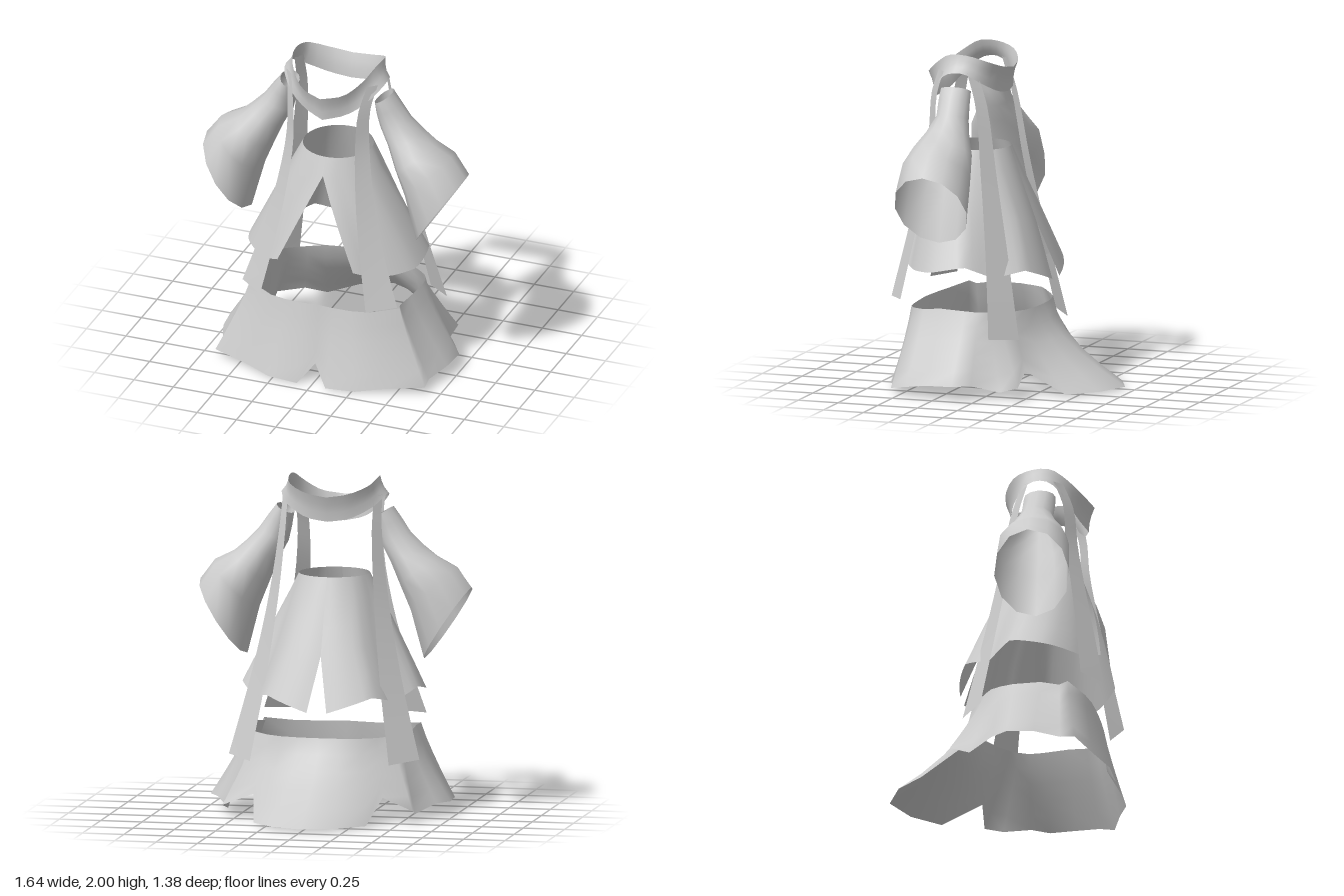
import * as THREE from 'three';

const cloth = new THREE.MeshStandardMaterial({ color: 0xcccccc, side: THREE.DoubleSide });
const { lerp, clamp } = THREE.MathUtils;
const V = (p) => new THREE.Vector3(...p);

// Skin a list of rows, each an equal-length list of [x, y, z]; closed joins row ends
function skin(name, rows, closed = false) {
  const n = rows[0].length, index = [];
  const cols = closed ? n : n - 1;
  for (let i = 0; i < rows.length - 1; i++) {
    for (let j = 0; j < cols; j++) {
      const a = i * n + j, b = i * n + (j + 1) % n;
      index.push(a, a + n, b, b, a + n, b + n);
    }
  }
  const g = new THREE.BufferGeometry();
  g.setAttribute('position', new THREE.Float32BufferAttribute(rows.flat(2), 3));
  g.setIndex(index);
  g.computeVertexNormals();
  const mesh = new THREE.Mesh(g, cloth);
  mesh.name = name;
  return mesh;
}

const flip = (rows) => rows.map((r) => r.map(([x, y, z]) => [-x, y, z]).reverse());

// Complete a front-to-back half outline into a closed loop
const loop = (half) => [...half, ...half.slice(1, -1).reverse().map(([x, y, z]) => [-x, y, z])];

function smooth(points, n) {
  return new THREE.CatmullRomCurve3(points.map(V)).getPoints(n).map((p) => p.toArray());
}

// Saddle-shaped neck band
function collar() {
  const top = smooth([[0, 1.845, 0.54], [0.13, 1.87, 0.495], [0.22, 1.94, 0.41], [0.26, 1.995, 0.32],
    [0.265, 1.995, 0.2], [0.24, 1.965, 0.1], [0.13, 1.92, 0.03], [0, 1.9, 0.01]], 18);
  const bottom = smooth([[0, 1.69, 0.505], [0.13, 1.725, 0.46], [0.24, 1.8, 0.41], [0.315, 1.885, 0.32],
    [0.315, 1.895, 0.22], [0.265, 1.84, 0.13], [0.13, 1.77, 0.06], [0, 1.75, 0.045]], 18);
  const rows = [0, 0.33, 0.66, 1].map((t) => {
    const pinch = 1 - 0.035 * Math.sin(Math.PI * t);
    return loop(top.map((p, i) => {
      const q = bottom[i];
      return [lerp(p[0], q[0], t) * pinch, lerp(p[1], q[1], t), 0.26 + (lerp(p[2], q[2], t) - 0.26) * pinch];
    }));
  });
  return skin('collar', rows, true);
}

// Flared sleeve: each ring is [upper x, y], [lower x, y], half depth, centre z
function sleeveRows() {
  const rings = [
    [0.35, 1.82, 0.25, 1.765, 0.095, 0.265], [0.4, 1.755, 0.26, 1.69, 0.098, 0.265],
    [0.46, 1.67, 0.28, 1.6, 0.098, 0.26], [0.54, 1.59, 0.335, 1.5, 0.135, 0.265],
    [0.61, 1.53, 0.395, 1.36, 0.185, 0.275], [0.73, 1.47, 0.46, 1.2, 0.215, 0.28],
    [0.82, 1.35, 0.535, 0.915, 0.225, 0.285],
  ];
  return rings.map(([ux, uy, lx, ly, d, cz]) => Array.from({ length: 12 }, (_, i) => {
    const a = (i / 12) * Math.PI * 2, s = (1 + Math.cos(a)) / 2;
    return [lerp(lx, ux, s), lerp(ly, uy, s), cz + d * Math.sin(a)];
  }));
}

// Ribbon: centre path points, half width vector at the top and at the end
function ribbonRows(path, w0, w1) {
  const pts = smooth(path, 16);
  return pts.map(([x, y, z], i) => {
    const t = (i / 16) ** 1.9;
    const w = w0.map((v, k) => lerp(v, w1[k], t));
    return [[x - w[0], y - w[1], z - w[2]], [x + w[0], y + w[1], z + w[2]]];
  });
}

// Half of the upper skirt, with slits opening at front and back
function upperSkirtRows() {
  // hem: angle from the front, radius, height
  const hem = [[0.57, 0.445, 0.77], [0.86, 0.445, 0.72], [1.1, 0.49, 0.72], [1.38, 0.545, 0.73],
    [1.78, 0.545, 0.775], [2.12, 0.492, 0.7], [2.49, 0.53, 0.74], [3.02, 0.503, 0.65]];
  const hemAt = (a) => {
    let i = 0;
    while (i < hem.length - 2 && a > hem[i + 1][0]) i++;
    const s = clamp((a - hem[i][0]) / (hem[i + 1][0] - hem[i][0]), 0, 1);
    return [1, 2].map((k) => lerp(hem[i][k], hem[i + 1][k], s));
  };
  const slit = (t, start, width, hemR) =>
    Math.asin(clamp((t - start) / (1 - start), 0, 1) * width / lerp(0.21, hemR, t));
  return [0, 0.17, 0.38, 0.58, 0.8, 1].map((t) => {
    const from = slit(t, 0.17, 0.24, 0.445), to = Math.PI - slit(t, 0.58, 0.06, 0.503);
    return Array.from({ length: 29 }, (_, j) => {
      const a = lerp(from, to, j / 28);
      const [R, Y] = hemAt(lerp(0.57, 3.02, j / 28));
      const r = lerp(0.21, R, t);
      return [r * Math.sin(a), lerp(1.42, Y, t), 0.245 + r * Math.cos(a)];
    });
  });
}

// Lower skirt: top edge and hem, front to back, ending in a sweeping train
function lowerSkirt() {
  const top = [[0, 0.485, 0.565], [0.09, 0.482, 0.565], [0.2, 0.48, 0.56], [0.31, 0.482, 0.54],
    [0.475, 0.505, 0.465], [0.455, 0.495, 0.41], [0.48, 0.51, 0.3], [0.49, 0.505, 0.14], [0.48, 0.5, 0.06],
    [0.45, 0.5, 0], [0.41, 0.495, -0.04], [0.33, 0.49, -0.1], [0.24, 0.49, -0.15], [0.12, 0.49, -0.175],
    [0, 0.49, -0.18]];
  const hem = [[0, 0.12, 0.615], [0.09, 0.005, 0.685], [0.275, 0.015, 0.68], [0.45, 0.035, 0.61],
    [0.665, 0.05, 0.54], [0.655, 0.06, 0.45], [0.71, 0.085, 0.3], [0.725, 0.09, 0.14], [0.66, 0.09, 0.04],
    [0.565, 0.045, -0.11], [0.575, 0.08, -0.225], [0.39, 0.15, -0.205], [0.34, 0.015, -0.44],
    [0.2, 0.018, -0.6], [0, 0.02, -0.69]];
  const rows = [0, 0.2, 0.4, 0.6, 0.8, 1].map((t) => loop(top.map((p, i) => {
    const q = hem[i], s = t ** (q[2] < -0.3 ? 1.6 : 1.15);
    return [lerp(p[0], q[0], s), lerp(p[1], q[1], t), lerp(p[2], q[2], s)];
  })));
  return skin('lowerSkirt', rows, true);
}

export function createModel() {
  const model = new THREE.Group();
  model.add(collar(), lowerSkirt());

  // Parts that come as mirrored pairs
  const frontRibbon = ribbonRows([[0.265, 1.9, 0.37], [0.235, 1.75, 0.425], [0.23, 1.5, 0.445],
    [0.272, 1.15, 0.5], [0.335, 0.85, 0.55], [0.413, 0.547, 0.6]], [0.025, 0, -0.025], [0.078, 0.005, -0.056]);
  const backRibbon = ribbonRows([[0.28, 1.9, 0.17], [0.285, 1.7, 0.11], [0.325, 1.3, 0.05],
    [0.395, 0.85, -0.025], [0.498, 0.35, -0.108]], [0.02, 0, 0.025], [0.078, 0.01, 0.068]);
  const pairs = { UpperSkirt: upperSkirtRows(), FrontRibbon: frontRibbon, BackRibbon: backRibbon, Sleeve: sleeveRows() };
  for (const [name, rows] of Object.entries(pairs)) {
    const closed = name === 'Sleeve';
    model.add(skin('left' + name, rows, closed), skin('right' + name, flip(rows), closed));
  }
  return model;
}
